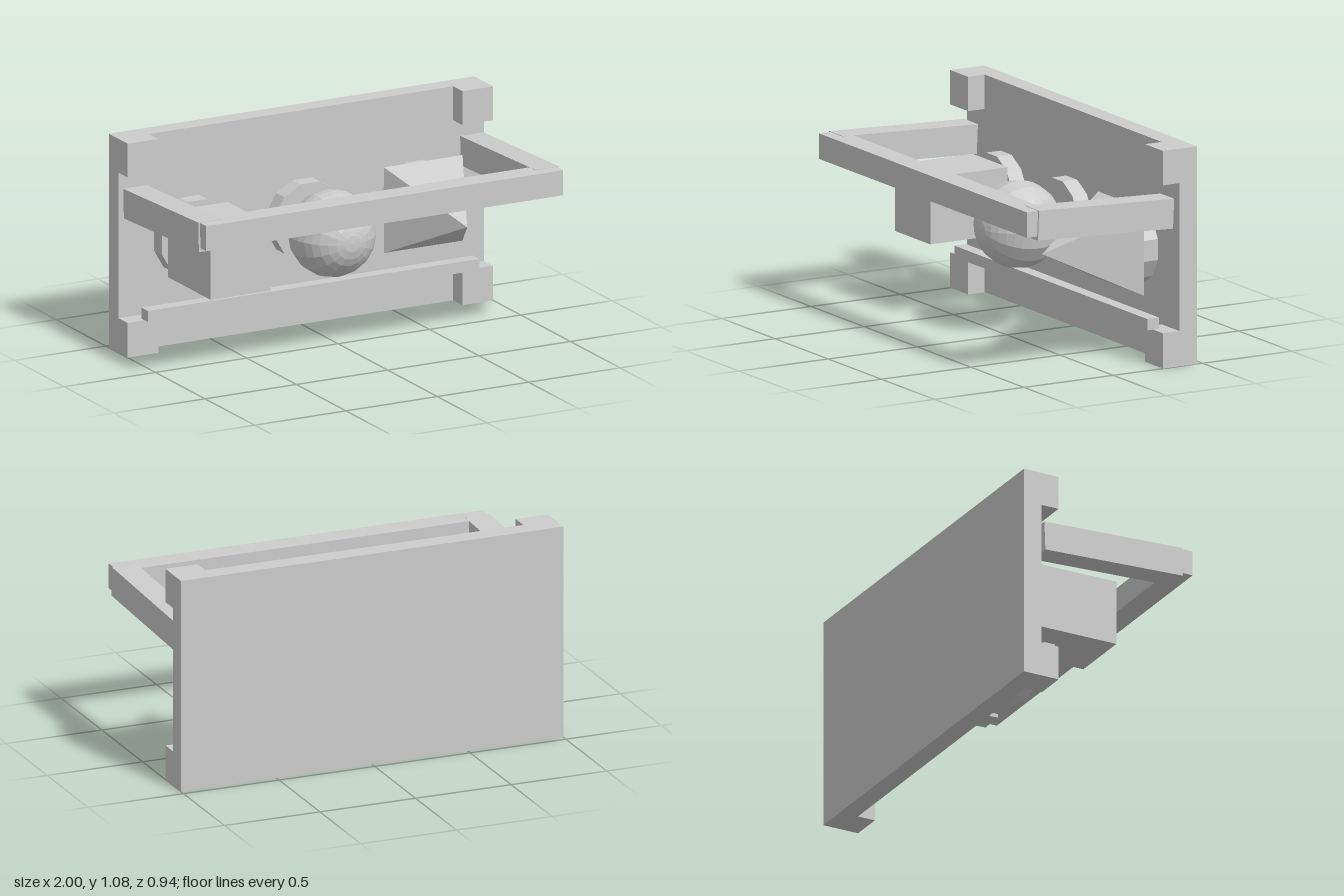
import * as THREE from 'three';

export function createModel() {
  const root = new THREE.Group();
  const grey = new THREE.MeshStandardMaterial({ color: 0xcccccc, flatShading: true });
  grey.name = 'plain grey';

  const add = (name, geometry, x, y, z) => {
    const mesh = new THREE.Mesh(geometry, grey);
    mesh.name = name;
    mesh.position.set(x, y, z);
    root.add(mesh);
    return mesh;
  };
  // Box given by its extents on each axis
  const box = (name, [x0, x1], [y0, y1], [z0, z1]) =>
    add(name, new THREE.BoxGeometry(x1 - x0, y1 - y0, z1 - z0),
      (x0 + x1) / 2, (y0 + y1) / 2, (z0 + z1) / 2);

  // Back panel with a block on each corner
  box('backPanel', [-1, 1], [0, 1.075], [-0.47, -0.372]);
  for (const side of [-1, 1]) {
    const xs = side > 0 ? [0.832, 1] : [-1, -0.832];
    box('lowerCornerBlock', xs, [0, 0.174], [-0.372, -0.279]);
    box('upperCornerBlock', xs, [0.905, 1.075], [-0.372, -0.279]);
  }

  // Thin rail resting on the lower blocks
  box('lowerRail', [-0.907, 0.907], [0.174, 0.23], [-0.312, -0.247]);

  // Twelve-sided discs behind the three shapes, flat side down
  for (const x of [-0.617, 0, 0.617]) {
    const disc = new THREE.CylinderGeometry(0.2, 0.2, 0.081, 12);
    disc.rotateY(Math.PI / 12).rotateX(Math.PI / 2);
    add('mountingDisc', disc, x, 0.54, -0.323);
  }

  // Block, ball and pyramid
  box('block', [-0.783, -0.453], [0.375, 0.705], [-0.275, 0.158]);
  const ball = new THREE.SphereGeometry(0.214, 16, 16);
  ball.rotateX(Math.PI / 2);
  add('ball', ball, 0, 0.54, -0.062);
  const pyramid = new THREE.ConeGeometry(0.215 * Math.SQRT2, 0.442, 4);
  pyramid.rotateY(Math.PI / 4).rotateX(Math.PI / 2);
  add('pyramid', pyramid, 0.615, 0.541, -0.053);

  // Carry handle: front bar and two slightly tilted arms
  box('handleBar', [-0.977, 0.977], [0.73, 0.856], [0.35, 0.47]);
  for (const side of [-1, 1]) {
    const arm = box('handleArm', [-0.064, 0.064], [0.696, 0.843], [-0.347, 0.41]);
    arm.position.x = side * 0.922;
    arm.rotation.x = -0.04;
  }

  return root;
}
